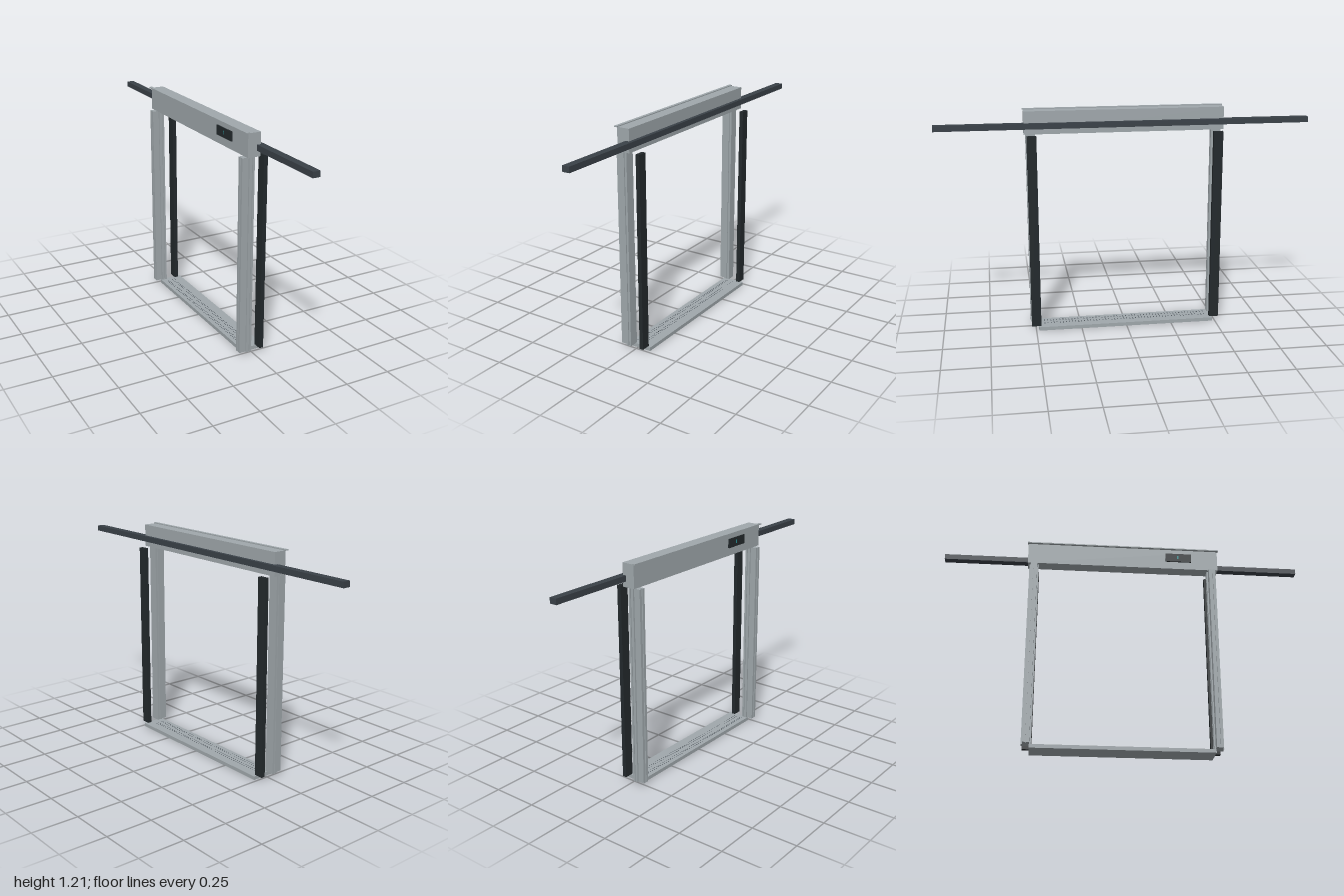
import * as THREE from 'three';

const material = (color) => new THREE.MeshStandardMaterial({ color });

export function createModel() {
  const model = new THREE.Group();
  const metal = material(0xa0a8ac);
  const darkMetal = material(0x3a4148);
  const black = material(0x23292c);
  const teal = material(0x2a8f92);

  // Box given by its limits on each axis
  function box(name, mat, [x0, x1], [y0, y1], [z0, z1]) {
    const mesh = new THREE.Mesh(new THREE.BoxGeometry(x1 - x0, y1 - y0, z1 - z0), mat);
    mesh.position.set((x0 + x1) / 2, (y0 + y1) / 2, (z0 + z1) / 2);
    mesh.name = name;
    model.add(mesh);
    return mesh;
  }

  // Header beam with a thin top flange, and the long rail in front of it
  box('header', metal, [-0.06, 0.01], [1.078, 1.2], [-0.535, 0.535]);
  box('headerFlange', metal, [-0.073, -0.055], [1.199, 1.205], [-0.54, 0.54]);
  box('rail', darkMetal, [-0.01, 0.03], [1.108, 1.138], [-1, 1]);

  // Display on the outer face of the header
  box('display', black, [-0.067, -0.06], [1.122, 1.172], [0.24, 0.385]);
  box('displayLight', teal, [-0.068, -0.066], [1.138, 1.158], [0.304, 0.312]);

  // Sill
  box('sill', metal, [-0.05, 0.077], [0, 0.02], [-0.485, 0.485]);

  // Stepped, grooved section of the frame posts, in x and z
  const half = [
    [-0.08, 0.003], [-0.08, 0.018], [-0.045, 0.018], [-0.045, 0.026], [-0.031, 0.026],
    [-0.031, 0.02], [-0.026, 0.02], [-0.026, 0.026], [-0.015, 0.026],
  ];
  const outline = [
    ...half, ...half.map(([x, z]) => [x, -z]).reverse(),
    [-0.073, -0.003], [-0.073, 0.003],
  ].map(([x, z]) => new THREE.Vector2(x, z));
  const postGeometry = new THREE.ExtrudeGeometry(new THREE.Shape(outline), {
    depth: 1.055, bevelEnabled: false,
  });
  postGeometry.rotateX(-Math.PI / 2);

  for (const side of [-1, 1]) {
    const post = new THREE.Mesh(postGeometry, metal);
    post.position.set(0, 0.02, side * 0.5);
    post.name = side > 0 ? 'frontFramePost' : 'backFramePost';
    model.add(post);
    box(side > 0 ? 'frontDarkPost' : 'backDarkPost', black,
      [0.038, 0.06], [0.02, 1.075], side > 0 ? [0.472, 0.523] : [-0.523, -0.472]);
  }

  // Rows of small perforations along the sill
  const dots = new THREE.Group();
  dots.name = 'sillPerforations';
  const dotGeometry = new THREE.CylinderGeometry(0.003, 0.003, 0.001, 6);
  for (const x of [-0.025, -0.013, 0.012, 0.024]) {
    for (let i = 0; i < 54; i++) {
      const dot = new THREE.Mesh(dotGeometry, darkMetal);
      dot.position.set(x, 0.02, -0.45 + (i * 0.9) / 53);
      dots.add(dot);
    }
  }
  model.add(dots);
  return model;
}
